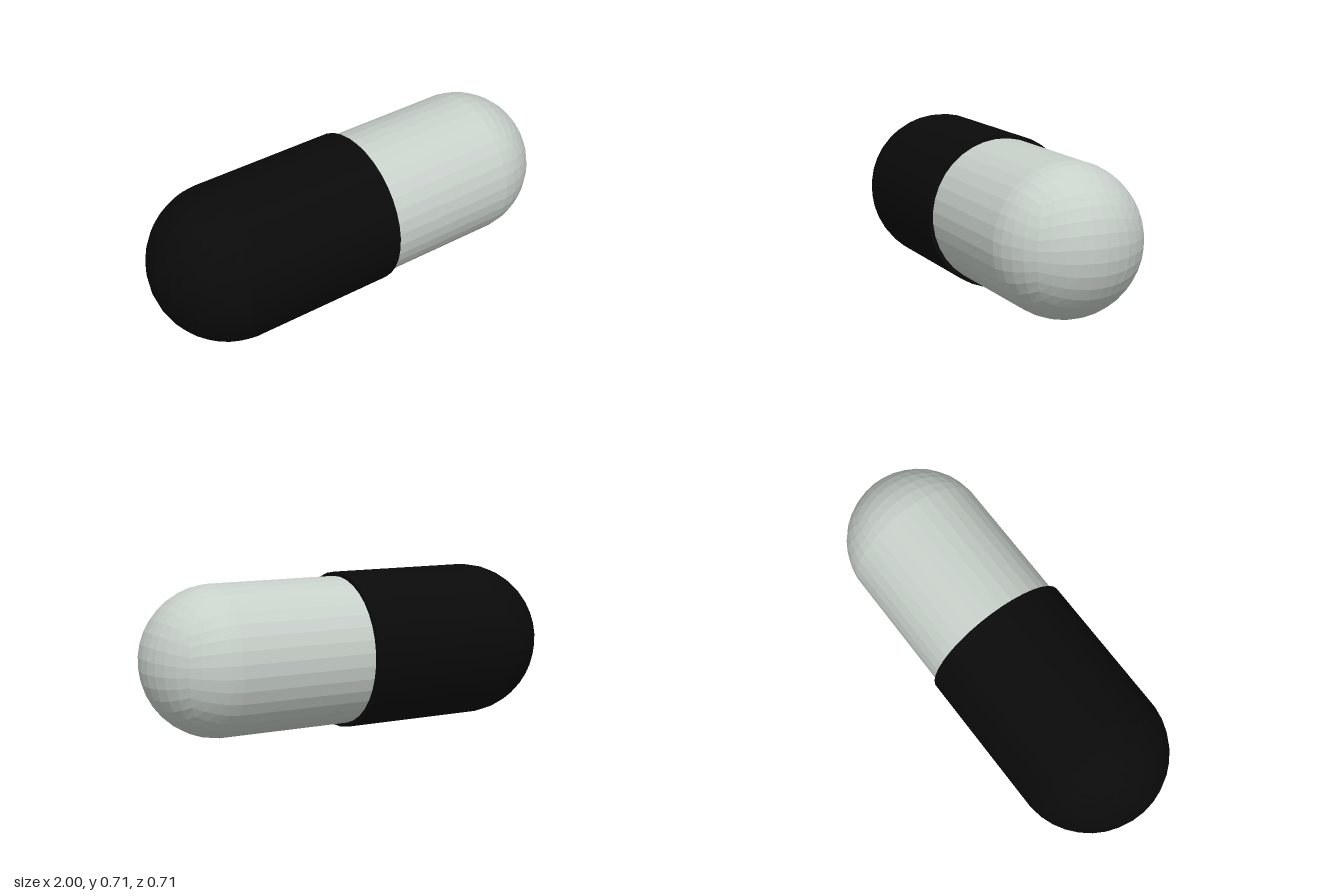
import * as THREE from 'three';

const DIVISIONS = 9;
const CENTRE_Y = 0.357;
// the middle facets are flat, so the visible extent is a little below the radius
const FLAT = 1 / Math.sqrt(1 + 2 * Math.tan(Math.PI / 4 / DIVISIONS) ** 2);

// Half capsule along +x: a cube-sphere dome ending at x = 1,
// whose other half is pressed flat into a disc at x = openX.
function halfCapsule(extent, openX) {
  const radius = extent / FLAT;
  const geometry = new THREE.BoxGeometry(2, 2, 2, DIVISIONS, DIVISIONS, DIVISIONS);
  const position = geometry.attributes.position;
  const v = new THREE.Vector3();
  const warp = (c) => Math.tan((c * Math.PI) / 4);
  for (let i = 0; i < position.count; i++) {
    v.fromBufferAttribute(position, i);
    v.set(warp(v.x), warp(v.y), warp(v.z)).setLength(radius);
    v.x = v.x > 0 ? v.x + 1 - extent : openX;
    position.setXYZ(i, v.x, v.y, v.z);
  }
  geometry.computeVertexNormals();
  return geometry;
}

function addHalf(group, name, geometry, color) {
  const material = new THREE.MeshStandardMaterial({ color, flatShading: true });
  const mesh = new THREE.Mesh(geometry, material);
  mesh.name = name;
  mesh.position.y = CENTRE_Y;
  group.add(mesh);
  return mesh;
}

export function createModel() {
  const group = new THREE.Group();
  group.name = 'capsule';

  // pale inner half, its flat end tucked inside the cap
  addHalf(group, 'paleBody', halfCapsule(0.338, 0), 0xc8d0ca);

  // wider black half, turned to face -x, its rim standing proud of the body
  const cap = addHalf(group, 'blackCap', halfCapsule(0.357, -0.045), 0x0a0a0a);
  cap.rotation.y = Math.PI;

  return group;
}
